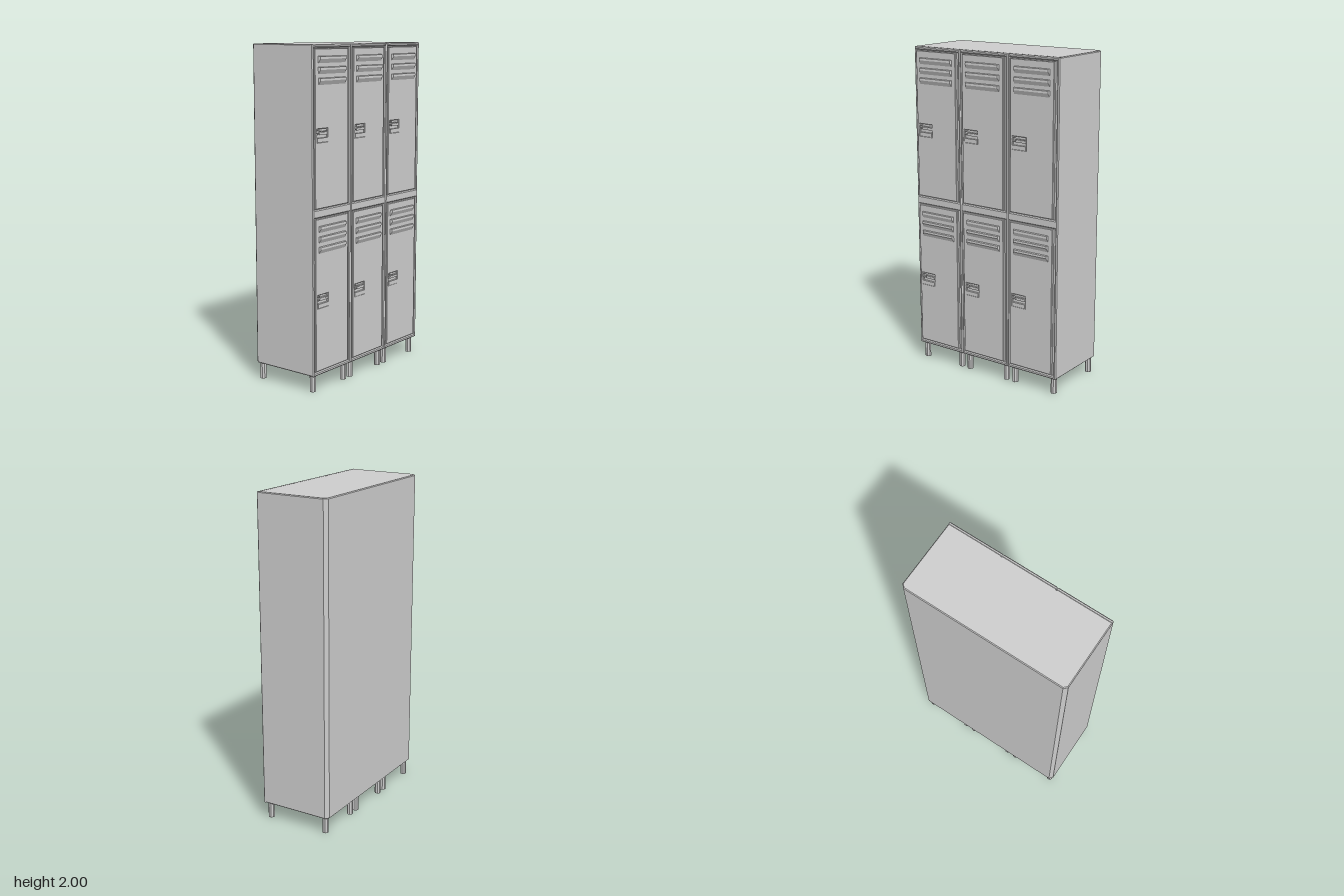
import * as THREE from 'three';

const material = new THREE.MeshStandardMaterial({ color: 0xcccccc, flatShading: true });

function add(parent, name, geometry, x = 0, y = 0, z = 0) {
  const mesh = new THREE.Mesh(geometry, material);
  mesh.name = name;
  mesh.position.set(x, y, z);
  parent.add(mesh);
  return mesh;
}

function trace(path, x0, x1, y0, y1) {
  return path.moveTo(x0, y0).lineTo(x1, y0).lineTo(x1, y1).lineTo(x0, y1).closePath();
}

// Rectangular panel with rectangular holes, given as [z0, z1, y0, y1], facing +x
function panel(outer, holes, depth, bevel) {
  const rect = (path, [z0, z1, y0, y1]) => trace(path, -z1, -z0, y0, y1);
  const shape = rect(new THREE.Shape(), outer);
  for (const hole of holes) shape.holes.push(rect(new THREE.Path(), hole));
  return new THREE.ExtrudeGeometry(shape, {
    depth, bevelEnabled: true, bevelThickness: bevel, bevelSize: bevel,
    bevelOffset: -bevel, bevelSegments: 1,
  }).rotateY(Math.PI / 2);
}

// Louvre hood: wide shelf on top, sloping back into the door, tapered ends
function louvreGeometry(width) {
  const profile = [[-0.004, 0.01], [0.012, 0.007], [0.013, -0.006], [-0.004, -0.036]];
  const shape = new THREE.Shape(profile.map(([x, y]) => new THREE.Vector2(x, y)));
  const geometry = new THREE.ExtrudeGeometry(shape, { depth: width, bevelEnabled: false });
  geometry.translate(0, 0, -width / 2);
  const p = geometry.attributes.position;
  for (let i = 0; i < p.count; i++) {
    if (p.getX(i) > 0) p.setZ(i, p.getZ(i) * 0.95);
  }
  geometry.computeVertexNormals();
  return geometry;
}

// One door with louvres and a recessed latch; y is its bottom edge
function createDoor(name) {
  const door = new THREE.Group();
  door.name = name;
  const latch = [0.045, 0.14, 0.38, 0.455];
  add(door, 'doorPanel', panel([-0.142, 0.157, 0.003, 0.899], [latch], 0.014, 0.003), 0.206);
  const louvre = louvreGeometry(0.245);
  for (let i = 0; i < 3; i++) add(door, 'louvre', louvre, 0.223, 0.848 - i * 0.06, 0.007);

  // Latch cup, catch teeth and pull
  add(door, 'latchBack', new THREE.BoxGeometry(0.004, 0.08, 0.1), 0.21, 0.417, 0.0925);
  add(door, 'latchPull', new THREE.BoxGeometry(0.014, 0.024, 0.093), 0.219, 0.392, 0.0925);
  add(door, 'latchBar', new THREE.BoxGeometry(0.01, 0.014, 0.072), 0.217, 0.428, 0.082);
  const tooth = new THREE.BoxGeometry(0.012, 0.007, 0.008);
  for (let i = 0; i < 5; i++) add(door, 'latchTooth', tooth, 0.219, 0.438, 0.056 + i * 0.014);
  for (const y of [0.428, 0.449]) add(door, 'latchStud', new THREE.BoxGeometry(0.014, 0.007, 0.014), 0.22, y, 0.132);
  return door;
}

export function createModel() {
  const model = new THREE.Group();
  model.name = 'lockerBank';

  // Cabinet with chamfered back corners and notches between the bays
  const plan = new THREE.Shape([
    [-0.24, -0.5], [-0.22, -0.52], [0.207, -0.52], [0.207, -0.18], [0.203, -0.174], [0.207, -0.168],
    [0.207, 0.168], [0.203, 0.174], [0.207, 0.18], [0.207, 0.52], [-0.22, 0.52], [-0.24, 0.5],
  ].map(([x, z]) => new THREE.Vector2(x, z)));
  const bevel = 0.005;
  const cabinet = new THREE.ExtrudeGeometry(plan, {
    depth: 1.9 - 2 * bevel, bevelEnabled: true, bevelThickness: bevel,
    bevelSize: bevel, bevelOffset: -bevel, bevelSegments: 1,
  }).rotateX(-Math.PI / 2);
  add(model, 'cabinet', cabinet, 0, 0.1 + bevel, 0);

  // Legs: eight-sided posts
  const leg = new THREE.CylinderGeometry(0.019, 0.019, 0.11, 8).rotateY(Math.PI / 8);

  for (const z of [0.347, 0, -0.347]) {
    const bay = new THREE.Group();
    bay.name = 'lockerBay';
    bay.position.z = z;
    model.add(bay);

    const openings = [[-0.157, 0.16, 1.076, 1.98], [-0.157, 0.16, 0.122, 1.026]];
    add(bay, 'doorFrame', panel([-0.173, 0.173, 0.1, 2], openings, 0.009, 0.006), 0.205);

    const upper = createDoor('upperDoor');
    upper.position.y = 1.077;
    const lower = createDoor('lowerDoor');
    lower.position.y = 0.123;
    bay.add(upper, lower);

    for (const x of [-0.205, 0.185]) {
      for (const side of [-1, 1]) add(bay, 'leg', leg, x, 0.055, side * 0.141);
    }
  }
  return model;
}
